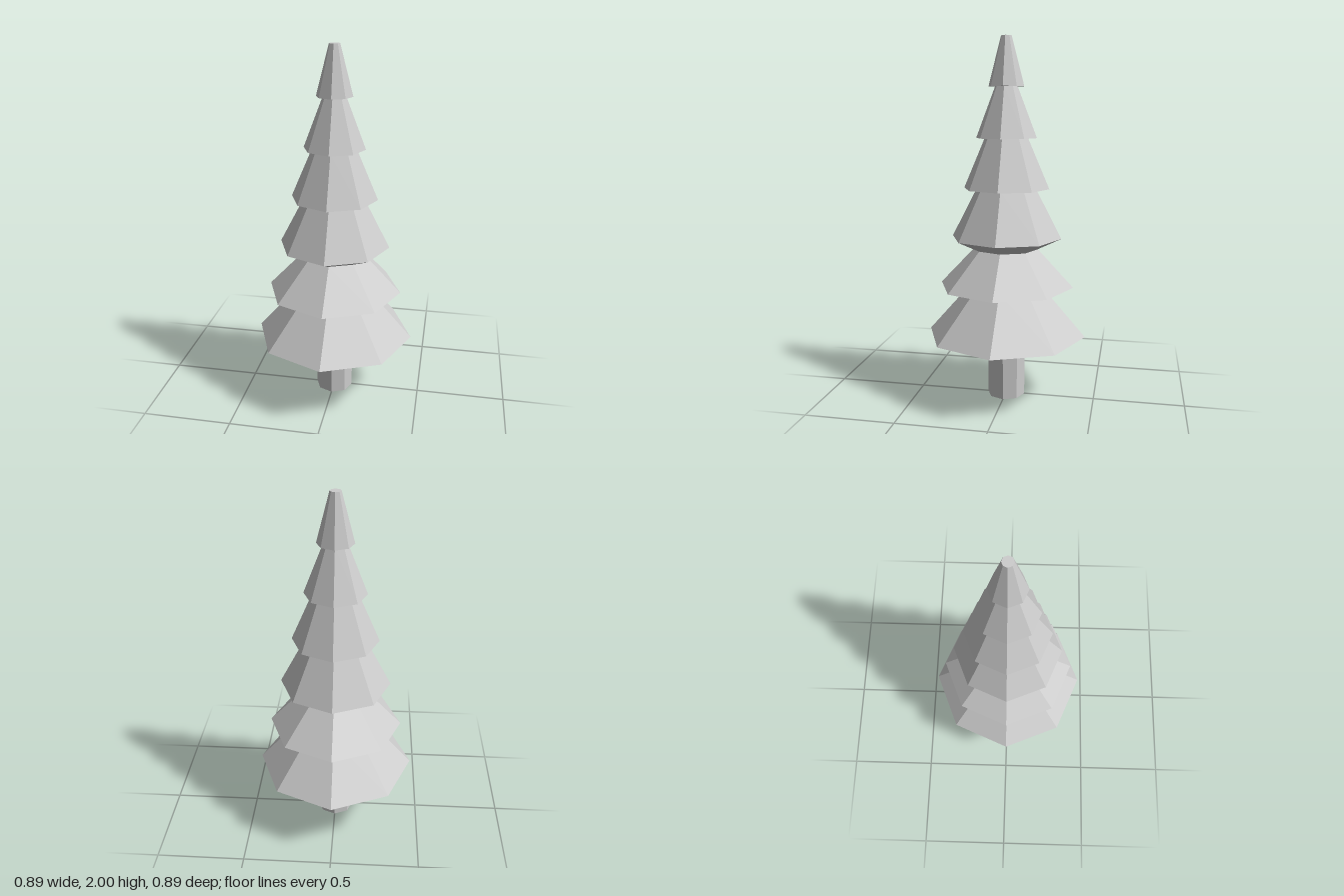
import * as THREE from 'three';

const SIDES = 8;

// Eight-sided solid from [radius, height] points, listed bottom to top
function facetedPart(name, profile, material) {
  const points = profile.map(([r, y]) => new THREE.Vector2(r, y));
  const mesh = new THREE.Mesh(new THREE.LatheGeometry(points, SIDES), material);
  mesh.name = name;
  return mesh;
}

export function createModel() {
  const tree = new THREE.Group();
  tree.name = 'pineTree';
  const grey = new THREE.MeshStandardMaterial({ color: 0xcccccc, flatShading: true });
  grey.name = 'plainGrey';

  // Trunk, closed at the foot
  const trunkRadius = 0.105;
  tree.add(facetedPart('trunk', [[0, 0], [trunkRadius, 0], [trunkRadius, 0.36]], grey));

  // Branch tiers: rim radius, rim height, top radius, top height
  const tiers = [
    [0.446, 0.36, 0.2, 0.64],
    [0.376, 0.64, 0.178, 0.85],
    [0.307, 0.912, 0.165, 1.185],
    [0.238, 1.185, 0.12, 1.46],
    [0.168, 1.46, 0.062, 1.735],
    [0.098, 1.735, 0.029, 2],
  ];
  let innerRadius = trunkRadius;
  let innerY = 0.36;
  tiers.forEach(([rimRadius, rimY, topRadius, topY], i) => {
    // The underside runs from the part below out to the rim; it slopes on the third tier
    const profile = [[innerRadius, innerY], [rimRadius, rimY], [topRadius, topY]];
    if (i === tiers.length - 1) profile.push([0, topY]); // flat tip
    tree.add(facetedPart(`branchTier${i + 1}`, profile, grey));
    innerRadius = topRadius;
    innerY = topY;
  });

  return tree;
}
